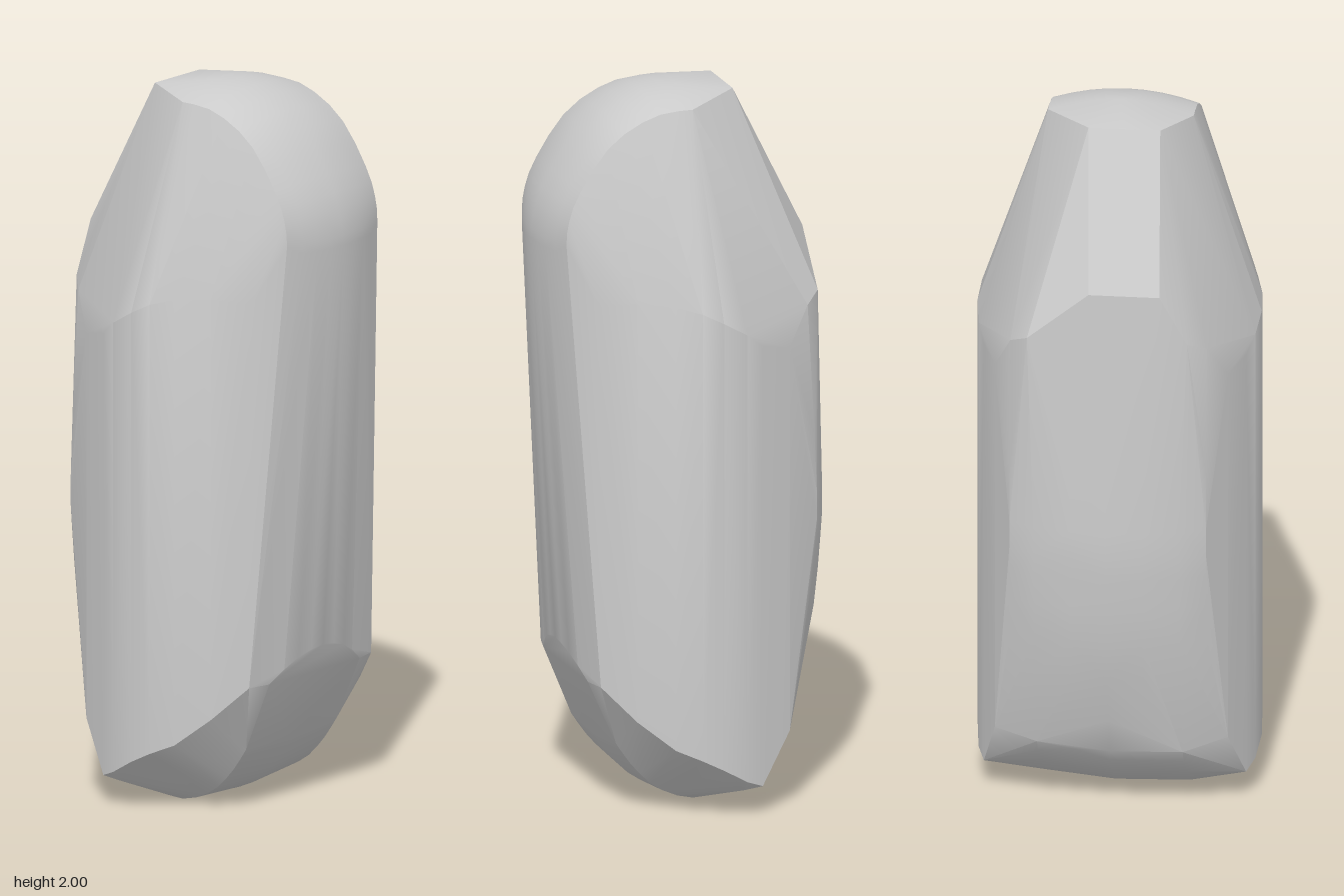
import * as THREE from 'three';
import { ConvexGeometry } from 'three/addons/geometries/ConvexGeometry.js';
import { toCreasedNormals } from 'three/addons/utils/BufferGeometryUtils.js';

const lerp = THREE.MathUtils.lerp;

// Smooth 2D curve through [z, y] pairs
function arc(pairs, n) {
  return new THREE.SplineCurve(pairs.map(p => new THREE.Vector2(...p))).getPoints(n);
}

export function createModel() {
  const group = new THREE.Group();
  const points = [];
  const add = (x, y, z) => points.push(new THREE.Vector3(x, y, z));
  const both = (x, y, z) => { add(x, y, z); add(-x, y, z); };

  // Rounded top front: crowned strip between x = -0.2 and 0.2
  const crown = arc([[0, 2], [0.12, 1.98], [0.25, 1.9], [0.35, 1.76], [0.39, 1.66], [0.4, 1.58]], 12);
  crown.forEach((p, i) => {
    const t = i / 12;
    for (let k = -4; k <= 4; k++) {
      const drop = 0.04 * (k / 4) ** 2;
      add(k * 0.05, p.y - drop * (1 - t), p.x - drop * t);
    }
  });

  // Sloping, uneven facets at the back of the top
  for (let k = 0; k <= 4; k++) add(lerp(-0.125, 0.072, k / 4), 1.978, -0.155);
  add(0.05, 1.57, -0.362);
  add(-0.145, 1.57, -0.362);
  both(0.22, 1.43, -0.352);

  // Front of the body, leaning back towards the bottom, with its lower cut
  for (let k = -4; k <= 4; k++) {
    const s = (k / 4) ** 2;
    add(k * 0.05, 0.45 - 0.08 * s, 0.33 - 0.03 * s);
  }
  both(0.27, 0.37, 0.285);

  // Curved flanks: x, z, top height, bottom height
  const flank = [
    [0.27, 0.295, 1.45, 0.45], [0.33, 0.2, 1.46, 0.28], [0.365, 0.1, 1.45, 0.2],
    [0.385, 0.03, 1.43, 0.17], [0.39, -0.03, 1.4, 0.14], [0.38, -0.1, 1.36, 0.1],
    [0.36, -0.15, 1.32, 0.08], [0.32, -0.24, 1.3, 0.22],
  ];
  flank.forEach(([x, z, top, bottom], i) => {
    both(x, top, z);
    both(x, bottom, i ? z : 0.27);
  });

  // Gently bulging back
  const spine = arc([[-0.36, 1.57], [-0.372, 1.35], [-0.395, 0.9], [-0.39, 0.72], [-0.36, 0.47], [-0.28, 0.18]], 12);
  spine.forEach((p, i) => {
    add(0, p.y, p.x);
    if (i < 2) return;
    both(0.1, p.y, p.x + 0.006);
    both(0.2, p.y, p.x + 0.025);
    if (p.y > 0.45) both(0.27, p.y, p.x + 0.062);
  });

  // Rounded underside, slightly tilted sideways
  const keel = arc([[0.22, 0.17], [0.17, 0.1], [0.1, 0.035], [0, 0], [-0.1, 0.02], [-0.2, 0.08], [-0.28, 0.18]], 14);
  keel.forEach(p => {
    add(0, p.y, p.x);
    add(-0.2, p.y + 0.006, p.x);
    add(0.2, p.y + 0.02, p.x);
  });

  // Soft lower corners
  both(0.35, 0.07, -0.1);
  both(0.375, 0.105, -0.07);

  const body = new THREE.Mesh(
    toCreasedNormals(new ConvexGeometry(points), 0.35),
    new THREE.MeshStandardMaterial({ color: 0xcccccc })
  );
  body.name = 'body';
  group.add(body);
  return group;
}
